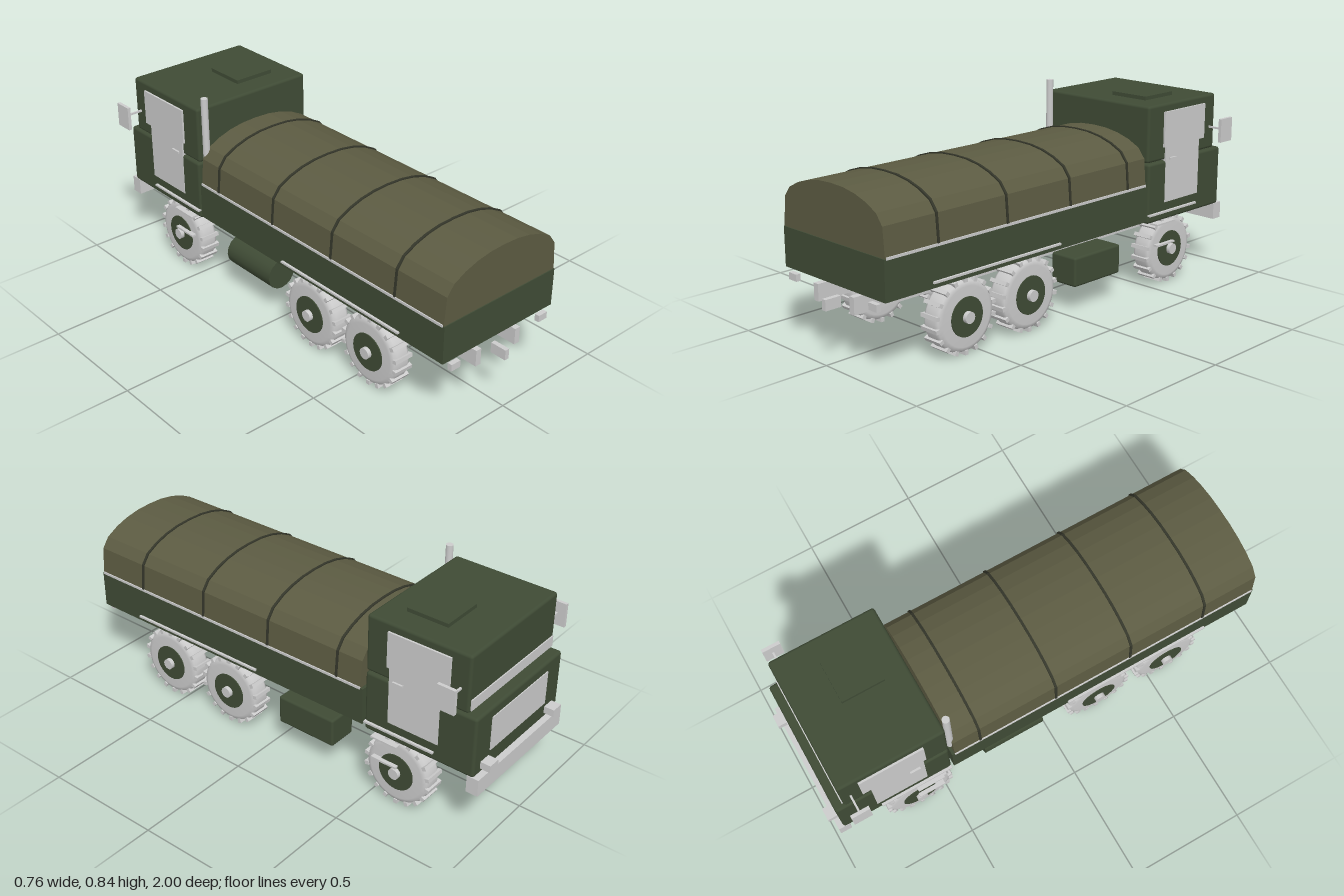
import * as THREE from 'three';
import { RoundedBoxGeometry } from 'three/addons/geometries/RoundedBoxGeometry.js';

const grey = new THREE.MeshStandardMaterial({ color: 0xcccccc });
const paint = (color) => {
  const m = new THREE.MeshStandardMaterial();
  m.color.set(color);
  return m;
};
const green = paint(0x3f4b35);
const canvas = paint(0x5c5b42);
const dark = paint(0x34362a);

export function createModel() {
  const truck = new THREE.Group();
  truck.name = 'coveredTruck';

  const add = (name, geometry, material, x, y, z, parent = truck) => {
    const mesh = new THREE.Mesh(geometry, material);
    mesh.name = name;
    mesh.position.set(x, y, z);
    parent.add(mesh);
    return mesh;
  };
  // Box given by its limits on each axis
  const box = (name, material, [x0, x1], [y0, y1], [z0, z1], bevel = 0) => {
    const size = [x1 - x0, y1 - y0, z1 - z0];
    const geometry = bevel
      ? new RoundedBoxGeometry(...size, 2, bevel)
      : new THREE.BoxGeometry(...size);
    return add(name, geometry, material, (x0 + x1) / 2, (y0 + y1) / 2, (z0 + z1) / 2);
  };
  // The same box on both sides of the truck
  const pair = (name, material, [x0, x1], y, z) => {
    box(name + 'Left', material, [x0, x1], y, z);
    box(name + 'Right', material, [-x1, -x0], y, z);
  };

  // Chassis
  pair('chassisRail', grey, [0.092, 0.118], [0.212, 0.28], [-0.88, 0.955]);
  box('towHitch', grey, [-0.01, 0.01], [0.212, 0.255], [0.93, 1.0]);
  pair('tailLight', grey, [0.212, 0.257], [0.262, 0.29], [0.945, 0.965]);
  box('frontBumper', grey, [-0.29, 0.29], [0.218, 0.29], [-0.98, -0.93]);
  pair('headlight', grey, [0.195, 0.248], [0.31, 0.34], [-1.0, -0.95]);

  // Cab
  box('lowerCab', green, [-0.291, 0.291], [0.287, 0.546], [-0.957, -0.467], 0.012);
  box('upperCab', green, [-0.286, 0.286], [0.549, 0.79], [-0.916, -0.465], 0.012);
  box('roofHatch', green, [0, 0.182], [0.78, 0.806], [-0.745, -0.565]);
  box('windscreen', grey, [-0.275, 0.275], [0.56, 0.605], [-0.921, -0.9]);
  box('grille', grey, [-0.19, 0.19], [0.36, 0.505], [-0.961, -0.94]);
  pair('door', grey, [0.27, 0.2935], [0.365, 0.72], [-0.8, -0.575]);
  pair('doorWindow', grey, [0.27, 0.2945], [0.605, 0.756], [-0.835, -0.563]);
  pair('doorHandle', grey, [0.29, 0.302], [0.549, 0.557], [-0.64, -0.595]);
  pair('cabTrim', grey, [0.285, 0.302], [0.321, 0.329], [-0.785, -0.47]);
  pair('cabStep', grey, [0.27, 0.31], [0.275, 0.282], [-0.63, -0.51]);
  pair('mirrorArm', grey, [0.28, 0.373], [0.642, 0.65], [-0.882, -0.874]);
  pair('mirror', grey, [0.366, 0.38], [0.595, 0.697], [-0.915, -0.838]);

  // Exhaust stack behind the cab
  add('exhaustStack', new THREE.CylinderGeometry(0.015, 0.015, 0.32, 16), grey, -0.26, 0.68, -0.447);

  // Cargo bed
  box('cargoBed', green, [-0.292, 0.292], [0.302, 0.46], [-0.457, 0.953]);
  pair('bedRail', grey, [0.285, 0.296], [0.456, 0.466], [-0.445, 0.945]);
  pair('bedTrim', grey, [0.285, 0.302], [0.321, 0.329], [0.075, 0.735]);

  // Canvas cover and its hoops, extruded from one arched section
  const half = [[0.292, 0.46], [0.282, 0.575], [0.25, 0.617], [0.195, 0.645], [0.135, 0.664], [0.07, 0.675]];
  const section = (grow) => {
    const right = half.map(([x, y]) => new THREE.Vector2(
      x + grow, y + (y > 0.5 ? grow : 0)));
    const left = [...right].reverse().map((p) => new THREE.Vector2(-p.x, p.y));
    return new THREE.Shape([...right, new THREE.Vector2(0, 0.678 + grow), ...left]);
  };
  const arch = (name, grow, material, z, depth) => add(name, new THREE.ExtrudeGeometry(
    section(grow), { depth, bevelEnabled: false }), material, 0, 0, z);
  arch('canvasCover', 0, canvas, -0.445, 1.394);
  [0.705, 0.36, 0.015, -0.33].forEach((z) => arch('coverHoop', 0.004, dark, z - 0.005, 0.01));

  // Storage box and fuel tank between the axles
  box('storageBox', green, [0.15, 0.28], [0.112, 0.236], [-0.305, -0.03], 0.01);
  const tank = add('fuelTank', new THREE.CylinderGeometry(0.066, 0.066, 0.275, 16), green, -0.213, 0.184, -0.168);
  tank.rotation.x = Math.PI / 2;

  // Wheels, built with the axis along x and the hub on the outside
  const disc = (r, length) => new THREE.CylinderGeometry(r, r, length, 32).rotateZ(-Math.PI / 2);
  const tyreProfile = [[0, -0.044], [0.118, -0.044], [0.136, -0.037], [0.142, -0.025],
    [0.142, 0.025], [0.136, 0.037], [0.118, 0.044], [0, 0.044]]
    .map(([r, h]) => new THREE.Vector2(r, h));
  const tyre = new THREE.LatheGeometry(tyreProfile, 36).rotateZ(-Math.PI / 2);
  const lug = new THREE.BoxGeometry(0.086, 0.018, 0.016);
  const lugs = 18;
  for (const side of [1, -1]) {
    for (const z of [0.57, 0.235, -0.62]) {
      const wheel = new THREE.Group();
      wheel.name = 'wheel';
      wheel.position.set(side * 0.245, 0.152, z);
      if (side < 0) wheel.rotation.y = Math.PI;
      add('tyre', tyre, grey, 0, 0, 0, wheel);
      add('rim', disc(0.078, 0.01), green, 0.043, 0, 0, wheel);
      add('hubCap', disc(0.023, 0.03), grey, 0.05, 0, 0, wheel);
      for (let i = 0; i < lugs; i++) {
        const a = (i / lugs) * Math.PI * 2;
        add('treadLug', lug, grey, 0, Math.cos(a) * 0.142, Math.sin(a) * 0.142, wheel).rotation.x = a;
      }
      truck.add(wheel);
    }
  }
  // Small foot steps beside the front wheels
  pair('footStep', grey, [0.28, 0.31], [0.181, 0.189], [-0.63, -0.515]);

  return truck;
}
